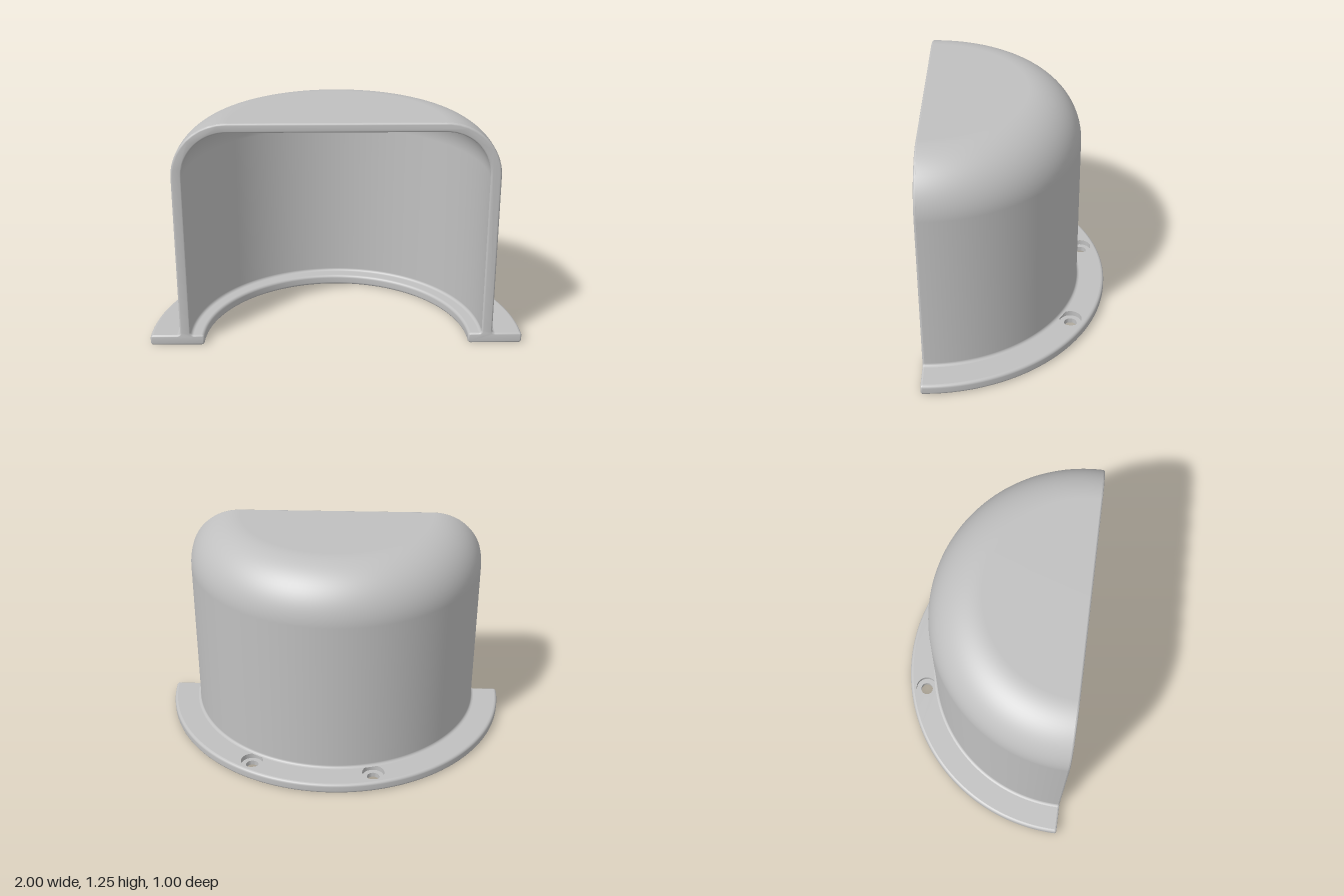
import * as THREE from 'three';
import { toCreasedNormals } from 'three/addons/utils/BufferGeometryUtils.js';

const grey = new THREE.MeshStandardMaterial({ color: 0xc0c0c0 });
grey.name = 'grey';

const OUT = 0.84, IN = 0.783;      // wall radii
const LIP = 0.71, RIM = 1;         // flange radii
const H = 0.058, F = 0.016;        // flange height, small edge radius
const HOLES = [[-0.238, 0.875], [0.45, 0.788]]; // x and distance behind the axis
const BORE = 0.062, DRILL = 0.035, STEP = 0.028;
const SEG = 96, BEVEL = 0.01;

const v = (x, y) => new THREE.Vector2(x, y);

// points along an arc, angles in degrees
function arc(cx, cy, r, from, to, n = 4) {
  return Array.from({ length: n + 1 }, (_, i) => {
    const a = THREE.MathUtils.degToRad(from + (to - from) * i / n);
    return v(cx + r * Math.cos(a), cy + r * Math.sin(a));
  });
}

// profiles of the cross-section, as radius and height
const rim = [...arc(RIM - F, F, F, -90, 0), ...arc(RIM - F, H - F, F, 0, 90)];
const outside = [...arc(OUT + F, H + F, F, 270, 180), ...arc(0.55, 0.96, OUT - 0.55, 0, 90, 20)];
const inside = [
  ...arc(0.548, 0.965, IN - 0.548, 90, 0, 20), ...arc(IN - F, H + F, F, 0, -90),
  ...arc(LIP + F, H - F, F, 90, 180), ...arc(LIP + F, F, F, 180, 270),
];

function mesh(name, geometry) {
  const m = new THREE.Mesh(geometry, grey);
  m.name = name;
  return m;
}

// half turn of a profile behind the front plane
const halfTurn = (points) => new THREE.LatheGeometry(points, SEG, Math.PI / 2, Math.PI);

// half ring with holes, facing up (dir 1) or down (dir -1)
function plate(r0, r1, y, holeRadius, dir) {
  const s = new THREE.Shape();
  s.absarc(0, 0, r1, 0, Math.PI, false);
  s.absarc(0, 0, r0, Math.PI, 0, true);
  for (const [x, d] of HOLES) {
    const h = new THREE.Path();
    h.absarc(dir * x, d, holeRadius, 0, Math.PI * 2, true);
    s.holes.push(h);
  }
  const g = new THREE.ShapeGeometry(s, SEG).rotateX(-Math.PI / 2);
  if (dir < 0) g.rotateZ(Math.PI);
  return g.translate(0, y, 0);
}

// front edge: the whole cross-section with softened corners
function frontEdge() {
  const mirror = (pts) => pts.map((p) => v(-p.x, p.y)).reverse();
  const outer = [...rim, ...outside];
  const shape = new THREE.Shape([...outer, ...mirror(outer), ...mirror(inside), ...inside]);
  const g = new THREE.ExtrudeGeometry(shape, {
    depth: 0.002, bevelEnabled: true, bevelThickness: BEVEL,
    bevelSize: BEVEL, bevelOffset: -BEVEL, bevelSegments: 3,
  });
  return toCreasedNormals(g.translate(0, 0, 0.488), 0.6);
}

export function createModel() {
  const model = new THREE.Group();
  model.name = 'hood';

  // turned body, ending where the softened front edge begins
  const body = new THREE.Group();
  body.name = 'body';
  body.position.z = 0.49;
  body.scale.z = 0.99;
  body.add(
    mesh('outerShell', halfTurn([...outside, v(0, 1.25)])),
    mesh('innerShell', halfTurn([v(0, 1.2), ...inside])),
    mesh('flangeRim', halfTurn(rim)),
    mesh('flangeTop', plate(OUT - 0.004, RIM - F, H, BORE, 1)),
    mesh('flangeBottom', plate(LIP + F, RIM - F, 0, DRILL, -1)),
  );

  // stepped screw holes
  for (const [x, d] of HOLES) {
    const wall = new THREE.LatheGeometry(
      [v(BORE, H), v(BORE, STEP), v(DRILL, STEP), v(DRILL, 0)], 32);
    const hole = mesh('screwHole', toCreasedNormals(wall, 0.6));
    hole.position.set(x, 0, -d);
    body.add(hole);
  }

  model.add(body, mesh('frontEdge', frontEdge()));
  return model;
}
